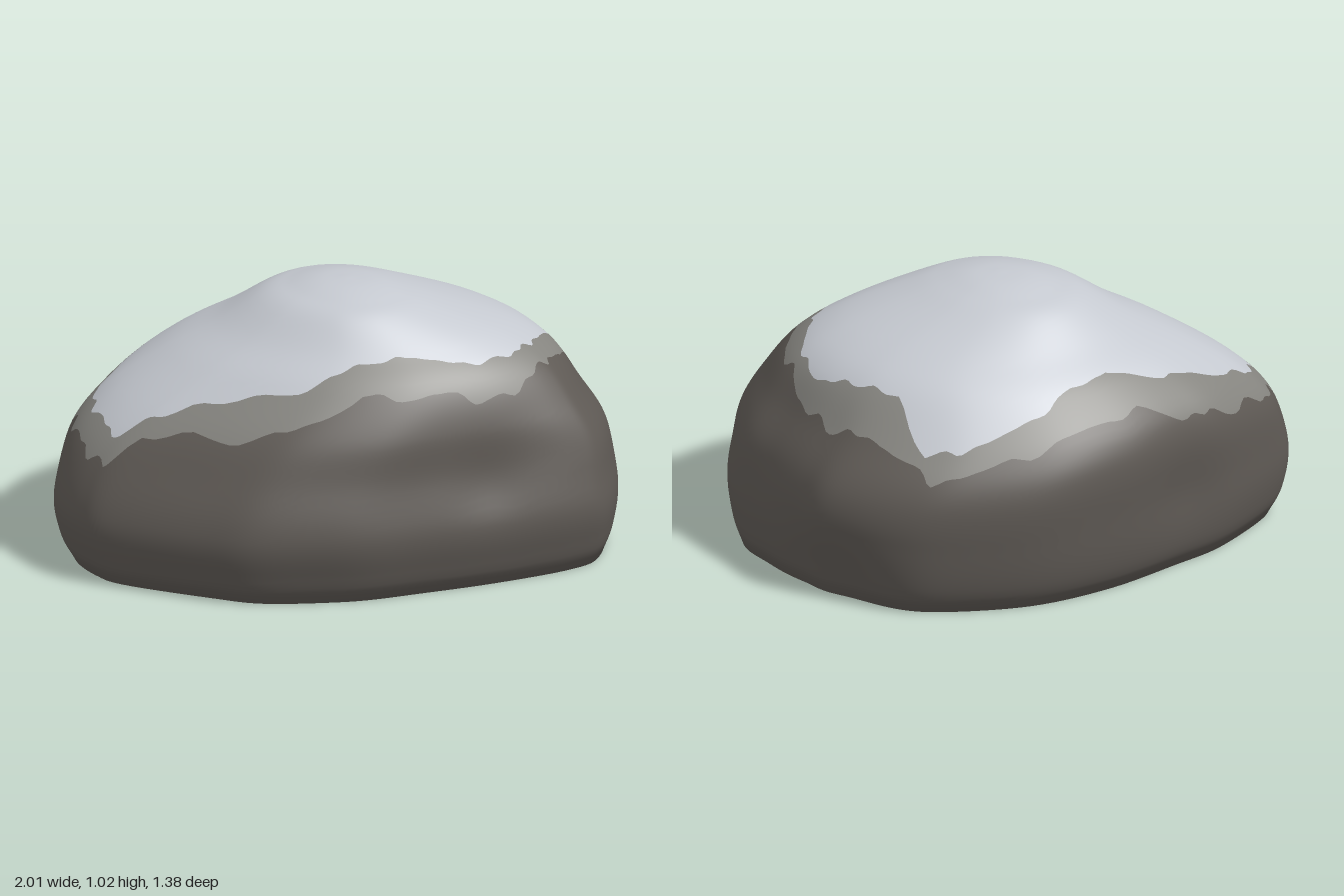
import * as THREE from 'three';

// Horizontal levels of the boulder: y, then x extents and z extents
const LEVELS = [
  [0, -0.93, 0.96, -0.6, 0.62], [0.1, -0.98, 0.99, -0.65, 0.665],
  [0.25, -1, 1, -0.675, 0.695], [0.45, -0.93, 0.96, -0.685, 0.645],
  [0.6, -0.79, 0.87, -0.63, 0.61], [0.75, -0.57, 0.77, -0.5, 0.53],
  [0.85, -0.39, 0.62, -0.37, 0.43], [0.95, -0.24, 0.35, -0.23, 0.31],
  [0.986, -0.14, 0.24, -0.14, 0.23], [1.0085, -0.05, 0.15, -0.05, 0.14],
  [1.016, 0.05, 0.05, 0.05, 0.05],
];
// Plan outline at the widest level
const OUTLINE = [
  [1, 0.2], [0.92, 0.455], [0.79, 0.55], [0.5, 0.62], [0.2, 0.66], [-0.1, 0.685],
  [-0.4, 0.63], [-0.6, 0.51], [-0.88, 0.3], [-0.96, 0.18], [-1, 0.03], [-0.985, -0.1],
  [-0.92, -0.21], [-0.7, -0.4], [-0.5, -0.5], [-0.2, -0.63], [0.12, -0.69], [0.45, -0.64],
  [0.65, -0.55], [0.86, -0.37], [0.91, -0.2], [0.96, 0],
];
// Plan positions of the edges of the snow and of the frost band below it
const SNOW_EDGE = [
  [0.77, 0.08], [0.7, 0.25], [0.55, 0.4], [0.4, 0.45], [0.2, 0.43], [0, 0.42], [-0.2, 0.43],
  [-0.35, 0.37], [-0.55, 0.27], [-0.72, 0.2], [-0.81, 0.18], [-0.85, 0], [-0.84, -0.12],
  [-0.65, -0.28], [-0.5, -0.35], [-0.2, -0.41], [-0.05, -0.47], [0.2, -0.55], [0.5, -0.5],
  [0.53, -0.32], [0.65, -0.18], [0.75, -0.05],
];
const FROST_EDGE = [
  [0.81, 0.05], [0.79, 0.24], [0.64, 0.42], [0.55, 0.5], [0.3, 0.53], [0, 0.51], [-0.2, 0.52],
  [-0.4, 0.46], [-0.6, 0.33], [-0.75, 0.24], [-0.88, 0.2], [-0.92, 0], [-0.9, -0.15],
  [-0.75, -0.31], [-0.6, -0.42], [-0.3, -0.51], [-0.1, -0.57], [0.2, -0.61], [0.5, -0.56],
  [0.61, -0.4], [0.75, -0.22], [0.81, -0.05],
];
// Shallow hollows: centre x, y, z, radius, fraction pushed inwards
const DENTS = [
  [0.85, 0.05, -0.38, 0.32, 0.08], [0.45, 0.4, 0.6, 0.2, 0.025],
  [-0.2, 0.1, 0.65, 0.25, 0.015], [-0.5, 0.3, -0.5, 0.22, 0.02],
];
const SKEW = 0.22; // sideways lean of the upper levels along z
const COLS = 200;
const WIDEST = 2 / (LEVELS.length - 1);

const outline = new THREE.CatmullRomCurve3(
  OUTLINE.map(([x, z]) => new THREE.Vector3(x, 0, z / 0.69)), true, 'catmullrom');
const xCurve = new THREE.CatmullRomCurve3(
  LEVELS.map(l => new THREE.Vector3(l[1], l[0], l[2])), false, 'catmullrom');
const zCurve = new THREE.CatmullRomCurve3(
  LEVELS.map(l => new THREE.Vector3(l[3], l[0], l[4])), false, 'catmullrom');

// Surface point: t runs round the boulder, v from the ground to the crown
function surface(t, v) {
  const p = outline.getPoint(((t % 1) + 1) % 1);
  const xs = xCurve.getPoint(v), zs = zCurve.getPoint(v);
  const round = 0.8 * THREE.MathUtils.smoothstep(xs.y, 0.4, 0.85);
  p.lerp(p.clone().normalize(), round);
  const q = new THREE.Vector3(
    (xs.x + xs.z) / 2 + p.x * (xs.z - xs.x) / 2, xs.y,
    (zs.x + zs.z) / 2 + p.z * (zs.z - zs.x) / 2);
  q.x += SKEW * THREE.MathUtils.smoothstep(q.y, 0.3, 0.75) * (q.z - 0.05);
  for (const [x, y, z, r, depth] of DENTS) {
    const d2 = (q.x - x) ** 2 + (q.y - y) ** 2 + (q.z - z) ** 2;
    const s = 1 - depth * Math.exp(-2 * d2 / (r * r));
    q.x *= s;
    q.z *= s;
  }
  return q;
}

function normalAt(t, v) {
  if (v > 0.995) return new THREE.Vector3(0, 1, 0);
  const e = 0.008;
  const up = surface(t, Math.min(1, v + e)).sub(surface(t, Math.max(0, v - e)));
  const along = surface(t + e, v).sub(surface(t - e, v));
  const n = up.cross(along).normalize();
  n.y -= Math.max(0, 1 - surface(t, v).y / 0.06) * 0.8; // soft turn at the ground
  return n.normalize();
}

// Radius of a plan edge in a given direction
function edgeRadius(points) {
  const polar = points.map(([x, z]) => [Math.atan2(z, x), Math.hypot(x, z)]).sort((a, b) => a[0] - b[0]);
  const first = polar[0], last = polar[polar.length - 1];
  polar.unshift([last[0] - 2 * Math.PI, last[1]]);
  polar.push([first[0] + 2 * Math.PI, first[1]]);
  return a => {
    const i = polar.findIndex(p => p[0] > a);
    const [a0, r0] = polar[i - 1], [a1, r1] = polar[i];
    return r0 + (r1 - r0) * (a - a0) / (a1 - a0);
  };
}

// For every column, the v at which the surface crosses a ragged plan edge
function edgeLine(points, phase) {
  const radius = edgeRadius(points);
  return Array.from({ length: COLS + 1 }, (_, j) => {
    const t = (j % COLS) / COLS, w = 2 * Math.PI * t;
    const ragged = 1 + 0.009 * Math.sin(19 * w + phase) + 0.007 * Math.sin(31 * w + 2 * phase)
      + 0.003 * Math.sin(47 * w + 3 * phase);
    let lo = WIDEST, hi = 1;
    for (let k = 0; k < 16; k++) {
      const mid = (lo + hi) / 2, p = surface(t, mid);
      if (Math.hypot(p.x, p.z) > radius(Math.atan2(p.z, p.x)) * ragged) lo = mid;
      else hi = mid;
    }
    return lo;
  });
}

// Skin between two edge lines
function skin(lower, upper, rows) {
  const pos = [], nor = [], idx = [];
  for (let i = 0; i <= rows; i++) {
    for (let j = 0; j <= COLS; j++) {
      const t = j / COLS, v = lower[j] + (upper[j] - lower[j]) * i / rows;
      pos.push(...surface(t, v).toArray());
      nor.push(...normalAt(t, v).toArray());
      if (i < rows && j < COLS) {
        const a = i * (COLS + 1) + j, b = a + COLS + 1;
        idx.push(a, b, a + 1, a + 1, b, b + 1);
      }
    }
  }
  const g = new THREE.BufferGeometry();
  g.setAttribute('position', new THREE.Float32BufferAttribute(pos, 3));
  g.setAttribute('normal', new THREE.Float32BufferAttribute(nor, 3));
  g.setIndex(idx);
  return g;
}

// Flat underside
function underside() {
  const ring = Array.from({ length: COLS }, (_, j) => surface(j / COLS, 0));
  const g = new THREE.ShapeGeometry(new THREE.Shape(ring.map(p => new THREE.Vector2(p.x, p.z))));
  return g.rotateX(Math.PI / 2);
}

export function createModel() {
  const group = new THREE.Group();
  group.name = 'snowyBoulder';
  const material = (name, color) => Object.assign(new THREE.MeshStandardMaterial({ color }), { name });
  const stone = material('stone', 0x5f5a55);
  const frost = material('frost', 0x868580);
  const snow = material('snow', 0xc5c9d0);
  const add = (name, geometry, mat) => {
    const mesh = new THREE.Mesh(geometry, mat);
    mesh.name = name;
    group.add(mesh);
  };

  const ground = new Array(COLS + 1).fill(0), crown = new Array(COLS + 1).fill(1);
  const frostLine = edgeLine(FROST_EDGE, 0.7);
  const snowLine = edgeLine(SNOW_EDGE, 2.1).map((v, j) => Math.max(v, frostLine[j] + 0.01));

  add('rockBody', skin(ground, frostLine, 28), stone);
  add('rockUnderside', underside(), stone);
  add('frostBand', skin(frostLine, snowLine, 6), frost);
  add('snowCap', skin(snowLine, crown, 24), snow);
  return group;
}
